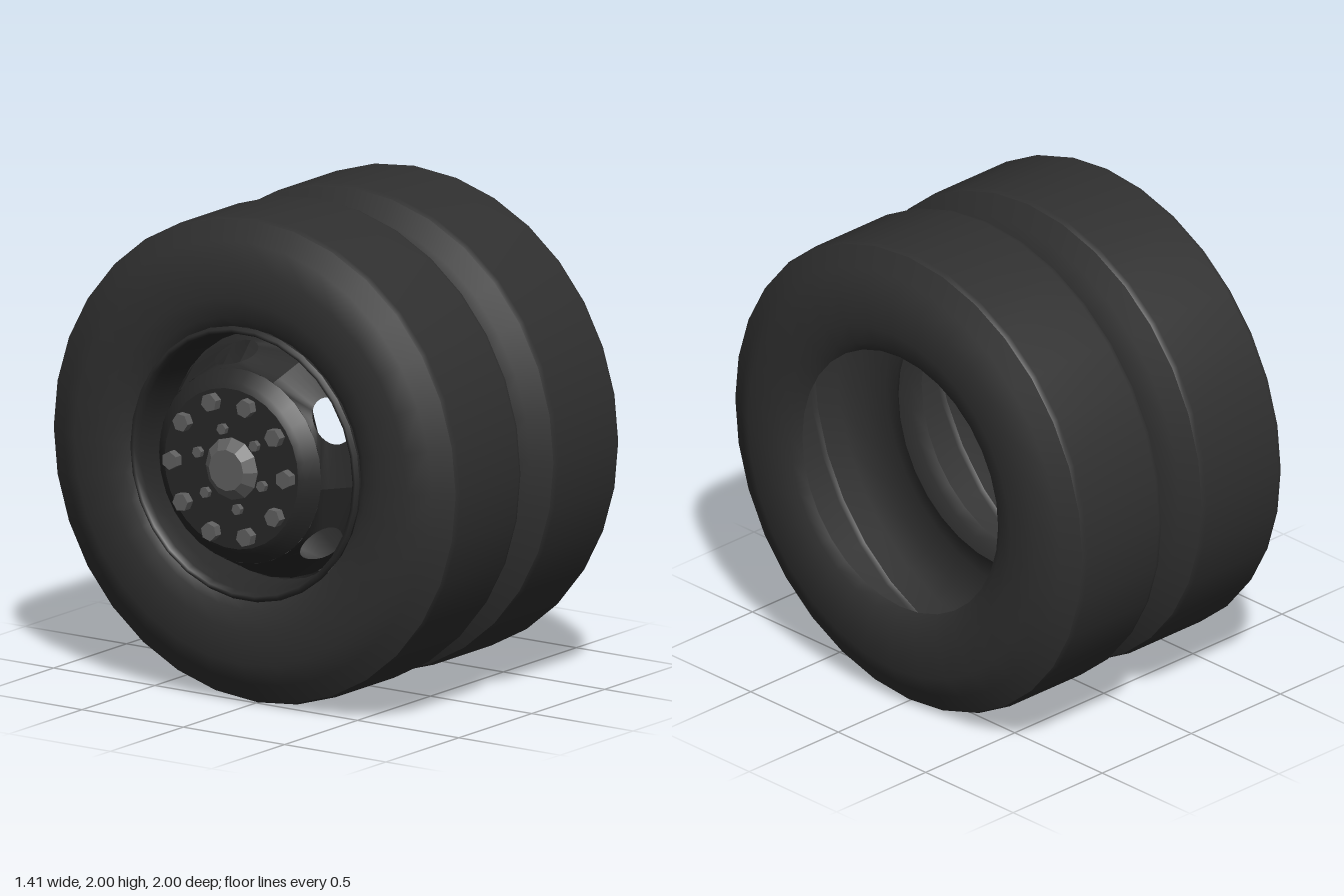
import * as THREE from 'three';

const mat = (name, color, side = THREE.DoubleSide, flatShading = false) =>
  Object.assign(new THREE.MeshStandardMaterial({ color, side, flatShading }), { name });

export function createModel() {
  const model = new THREE.Group();
  model.name = 'dualWheel';
  const rubber = mat('black rubber', 0x303030);
  const paint = mat('dark rim paint', 0x282828);
  const steel = mat('grey steel', 0x606060, THREE.FrontSide, true);

  const add = (parent, name, geometry, material) => {
    const mesh = new THREE.Mesh(geometry, material);
    mesh.name = name;
    parent.add(mesh);
    return mesh;
  };
  // Revolve [radius, x] points around the axle (the x axis)
  const revolve = (points, sides) =>
    new THREE.LatheGeometry(points.map(([r, x]) => new THREE.Vector2(r, x)), sides).rotateZ(-Math.PI / 2);

  // Tyres: hollow shells with a flat tread and rounded sidewalls
  const sidewall = [[0.56, 0.27], [0.60, 0.30], [0.68, 0.317], [0.82, 0.32], [0.91, 0.27], [0.992, 0.222]];
  const tread = [[0.992, -0.222], [1, -0.20], [1, 0.20], [0.992, 0.222]];
  [['outerTyre', -0.288], ['innerTyre', 0.382]].forEach(([name, x]) => {
    const tyre = new THREE.Group();
    tyre.name = name;
    tyre.position.set(x, 1, 0);
    add(tyre, 'tread', revolve(tread, 32), rubber);
    for (const s of [-1, 1]) {
      add(tyre, 'sidewall', revolve(sidewall.map(([r, px]) => [r, px * s]), 32), rubber);
    }
    model.add(tyre);
  });

  const wheel = new THREE.Group();
  wheel.name = 'wheel';
  wheel.position.y = 1;
  model.add(wheel);

  // Rim: outer lip and barrel, then the raised disc face
  add(wheel, 'rimBarrel', revolve([[0.565, -0.575], [0.555, -0.592], [0.54, -0.59], [0.53, -0.56],
    [0.52, -0.50], [0.51, -0.38]], 30), paint);
  add(wheel, 'discFace', revolve([[0.22, -0.67], [0.33, -0.67]], 30), paint);
  add(wheel, 'discShoulder', revolve([[0.33, -0.67], [0.355, -0.655], [0.40, -0.61]], 30), paint);

  // Disc cone: five sectors, each lofted from a hand hole out to the sector edge
  const around = 24;
  for (let k = 0; k < 5; k++) {
    const centre = THREE.MathUtils.degToRad(12 + 72 * k);
    const positions = [], index = [];
    const put = (u, v) => {
      const a = centre + u, r = 0.40 + 0.10 * v, x = -0.61 + 0.21 * v;
      positions.push(x, r * Math.cos(a), -r * Math.sin(a));
    };
    for (let i = 0; i < around; i++) {
      const t = (i / around) * Math.PI * 2, c = Math.cos(t), s = Math.sin(t);
      // square walk with evenly spaced corners and sides
      const side = Math.floor(i / 6), f = (i % 6) / 3 - 1;
      const [qx, qy] = [[1, f], [-f, 1], [-1, -f], [f, -1]][side];
      const hole = t - Math.PI / 4;
      put(0.225 * Math.cos(hole), 0.46 + 0.36 * Math.sin(hole));
      put(qx * Math.PI / 5, 0.5 + 0.5 * qy);
      const a = 2 * i, b = 2 * ((i + 1) % around);
      index.push(a, a + 1, b, b, a + 1, b + 1);
    }
    const cone = new THREE.BufferGeometry();
    cone.setAttribute('position', new THREE.Float32BufferAttribute(positions, 3));
    cone.setIndex(index);
    cone.computeVertexNormals();
    add(wheel, 'discCone', cone, paint);
  }

  // Hub: one-sided mounting plate and a tapered cap
  const plate = mat('hub plate paint', 0x282828, THREE.FrontSide);
  add(wheel, 'hubPlate', new THREE.RingGeometry(0.12, 0.222, 30).rotateY(-Math.PI / 2), plate).position.x = -0.668;
  add(wheel, 'hubCap', new THREE.CylinderGeometry(0.13, 0.085, 0.04, 12).rotateZ(-Math.PI / 2), steel)
    .position.x = -0.687;

  // Rings of hexagonal fasteners, angles measured from the top towards the back
  const ring = (name, count, radius, start, size, x0, x1) => {
    for (let i = 0; i < count; i++) {
      const a = start + (i / count) * Math.PI * 2;
      const nut = add(wheel, name, new THREE.CylinderGeometry(size, size, x1 - x0, 6).rotateZ(-Math.PI / 2), steel);
      nut.position.set((x0 + x1) / 2, radius * Math.cos(a), -radius * Math.sin(a));
      nut.rotation.x = -a;
    }
  };
  ring('wheelNut', 10, 0.28, Math.PI / 2, 0.038, -0.708, -0.668);
  ring('hubBolt', 6, 0.165, THREE.MathUtils.degToRad(13), 0.023, -0.69, -0.66);

  return model;
}
